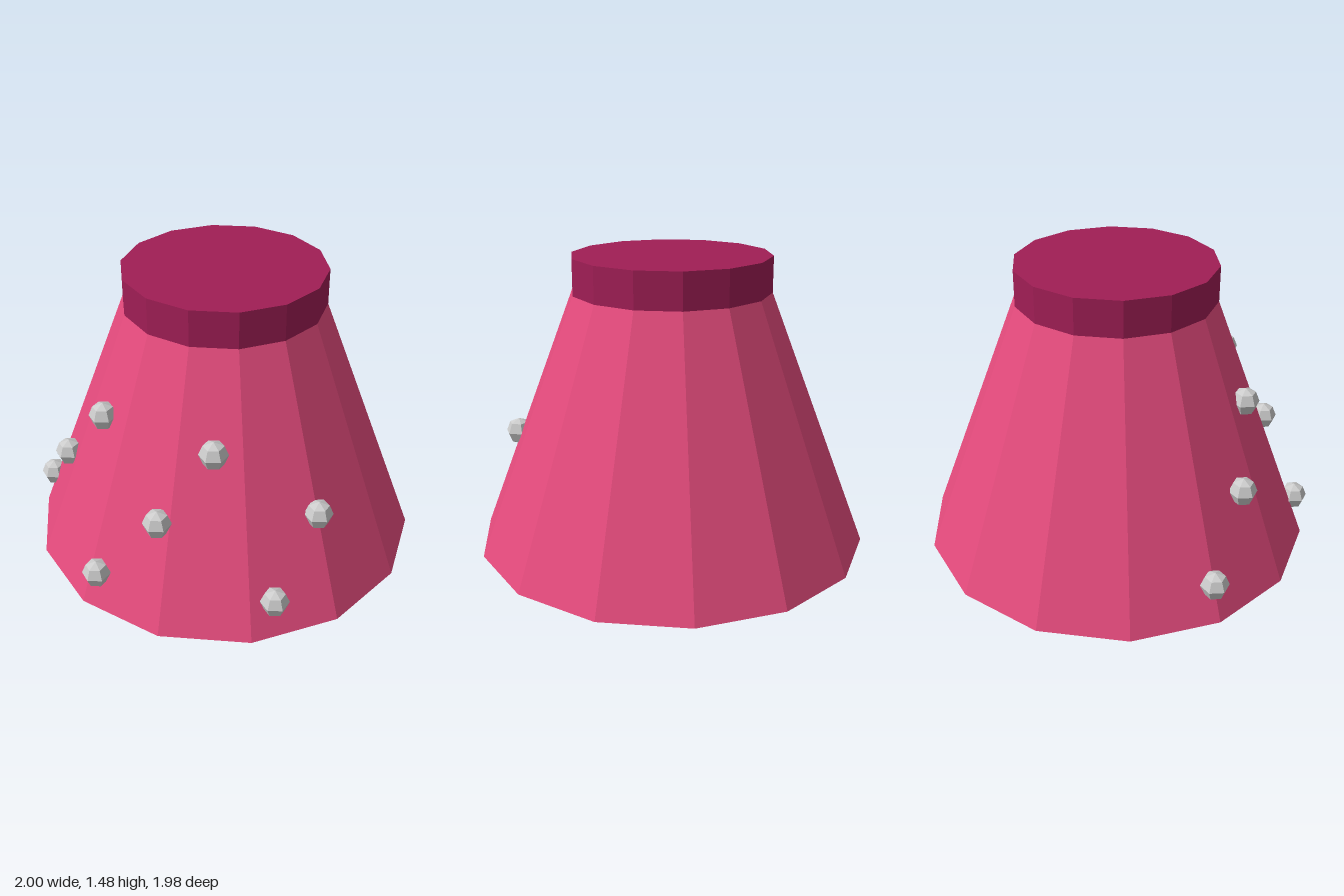
import * as THREE from 'three';

const SIDES = 14;
const CENTRE_Z = -0.015;

// Faceted ring section with a flat face towards the front
function section(name, topRadius, bottomRadius, y0, y1, color) {
  const geometry = new THREE.CylinderGeometry(
    topRadius, bottomRadius, y1 - y0, SIDES, 1, false, Math.PI / SIDES);
  const material = new THREE.MeshStandardMaterial({ color, flatShading: true });
  const mesh = new THREE.Mesh(geometry, material);
  mesh.name = name;
  mesh.position.set(0, (y0 + y1) / 2, CENTRE_Z);
  return mesh;
}

export function createModel() {
  const model = new THREE.Group();
  model.name = 'studdedCone';

  // Tapered body and the straight band closing its top
  model.add(section('body', 0.5, 1, 0, 1.3, 0xe54b7d));
  model.add(section('topBand', 0.5, 0.5, 1.3, 1.48, 0xa01e55));

  // Small low-poly studs scattered over the front in three rows
  const studs = new THREE.Group();
  studs.name = 'studs';
  const studGeometry = new THREE.SphereGeometry(0.07, 6, 4);
  studGeometry.rotateY(Math.PI / 6);
  const studMaterial = new THREE.MeshStandardMaterial({ color: 0xcccccc, flatShading: true });
  const rows = [
    { y: 0.86, spots: [[-0.31, 0.59], [0.31, 0.59]] },
    { y: 0.525, spots: [[-0.585, 0.55], [0.125, 0.79], [0.73, 0.34]] },
    { y: 0.19, spots: [[-0.855, 0.39], [-0.155, 0.92], [0.675, 0.645]] },
  ];
  for (const { y, spots } of rows) {
    for (const [x, z] of spots) {
      const stud = new THREE.Mesh(studGeometry, studMaterial);
      stud.name = 'stud';
      stud.position.set(x, y, z);
      studs.add(stud);
    }
  }
  model.add(studs);
  return model;
}
